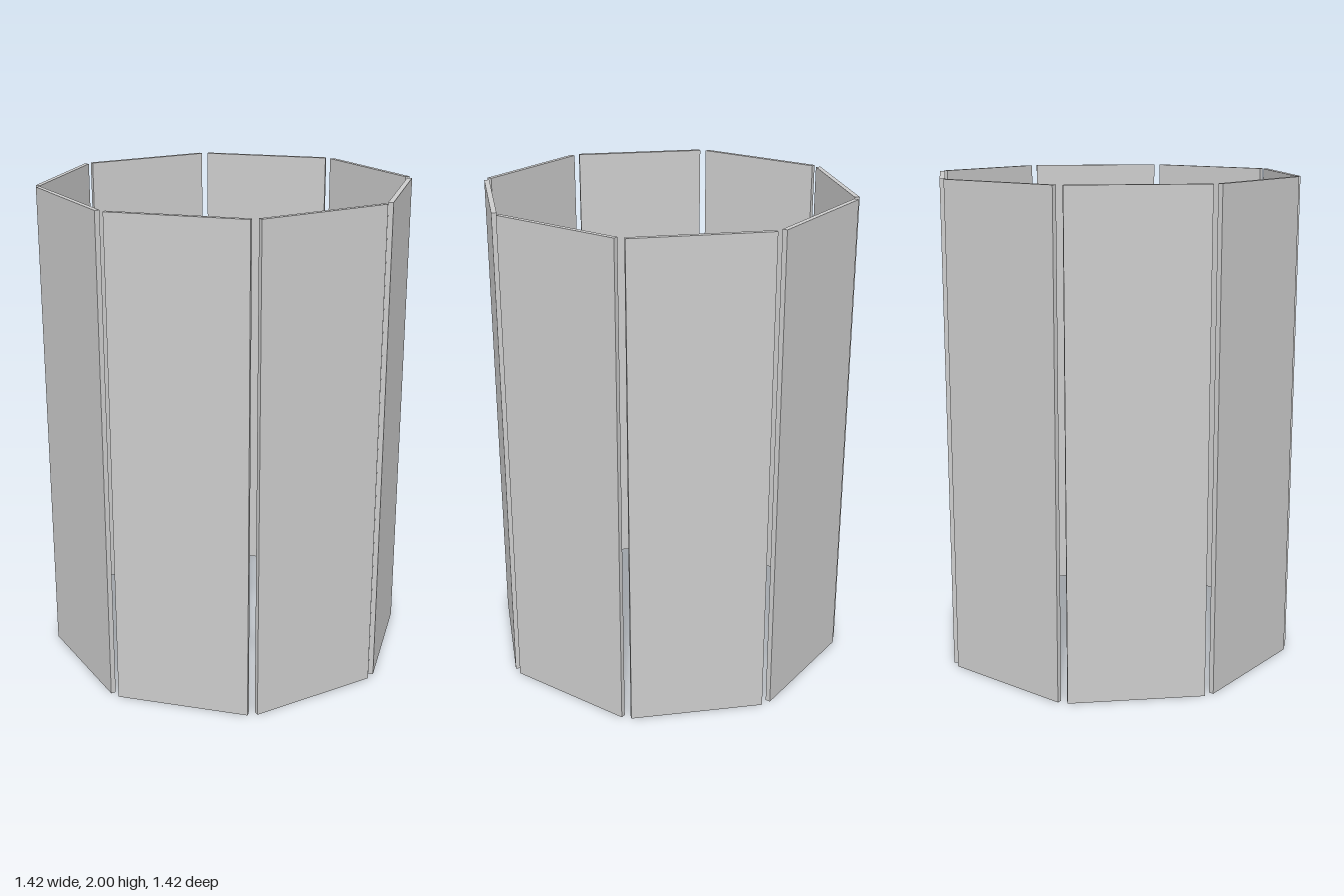
import * as THREE from 'three';

const SIDES = 8;
const RADIUS = 0.699; // centre axis to the middle of a panel
const WIDTH = 0.544;
const HEIGHT = 2;
const THICKNESS = 0.02;

export function createModel() {
  const model = new THREE.Group();
  model.name = 'octagonalScreen';
  const material = new THREE.MeshStandardMaterial({ color: 0xcccccc });
  const geometry = new THREE.BoxGeometry(WIDTH, HEIGHT, THICKNESS);

  // Ring of upright panels with narrow gaps at the corners
  for (let i = 0; i < SIDES; i++) {
    const angle = (i / SIDES) * Math.PI * 2;
    const panel = new THREE.Mesh(geometry, material);
    panel.name = `panel${i + 1}`;
    panel.position.set(Math.sin(angle) * RADIUS, HEIGHT / 2, Math.cos(angle) * RADIUS);
    panel.rotation.y = angle;
    model.add(panel);
  }
  return model;
}
